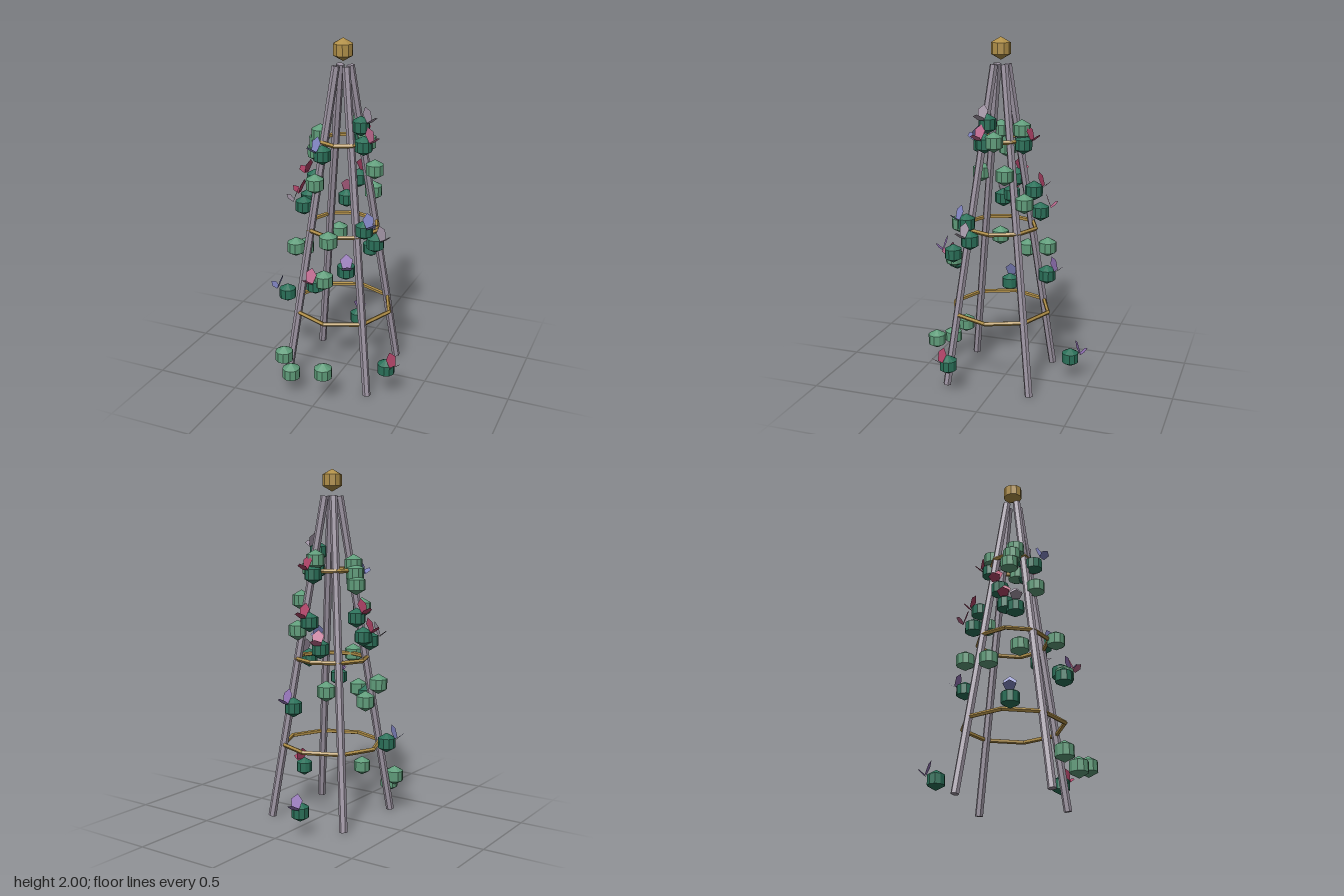
import * as THREE from 'three';

const CX = -0.01, CZ = 0.03; // axis of the trellis

const mat = (name, color, extra = {}) => {
  const m = new THREE.MeshStandardMaterial({ color, flatShading: true, ...extra });
  m.name = name;
  return m;
};

export function createModel() {
  const model = new THREE.Group();
  model.name = 'gardenObelisk';

  const two = { side: THREE.DoubleSide };
  const pole = mat('weathered wood', 0x9b92a0);
  const gold = mat('aged gold', 0xb08f48);
  const light = mat('light leaf', 0x5f9c7a);
  const dark = mat('dark leaf', 0x2a7059);
  const petals = {
    blue: mat('blue petal', 0x8488c6, two),
    purple: mat('purple petal', 0x9474b8, two),
    rose: mat('rose petal', 0xb04468, two),
    pink: mat('pink petal', 0xc06a90, two),
    mauve: mat('mauve petal', 0xa497a8, two),
  };

  const add = (name, geo, material, x, y, z, parent = model) => {
    const mesh = new THREE.Mesh(geo, material);
    mesh.name = name;
    mesh.position.set(x, y, z);
    parent.add(mesh);
    return mesh;
  };

  // Four leaning poles
  const up = new THREE.Vector3(0, 1, 0);
  for (const sx of [-1, 1]) for (const sz of [-1, 1]) {
    const a = new THREE.Vector3(CX + sx * 0.25, 0.006, CZ + sz * 0.25);
    const b = new THREE.Vector3(CX + sx * 0.03, 1.85, CZ + sz * 0.03);
    const mid = a.clone().add(b).multiplyScalar(0.5);
    const leg = add('pole', new THREE.CylinderGeometry(0.023, 0.023, a.distanceTo(b), 6), pole, mid.x, mid.y, mid.z);
    leg.quaternion.setFromUnitVectors(up, b.sub(a).normalize());
  }

  // Octagonal hoops
  for (const [y, r] of [[0.43, 0.287], [0.93, 0.208], [1.435, 0.128]]) {
    add('hoop', new THREE.TorusGeometry(r, 0.013, 5, 8).rotateX(Math.PI / 2), gold, CX, y, CZ);
  }

  // Finial
  add('finial', new THREE.SphereGeometry(0.063, 10, 3), gold, CX, 1.937, CZ);

  // Leaf clumps: x, y, z
  const leafGeo = new THREE.SphereGeometry(0.059, 10, 3);
  const leaves = [
    [-0.25, 0.195, 0.345], [-0.177, 0.13, 0.405], [0.034, 0.19, 0.427],
    [-0.288, 0.72, -0.045], [-0.268, 0.79, 0.122], [-0.14, 0.786, -0.213],
    [-0.004, 0.708, 0.32], [0.004, 0.925, 0.275], [-0.114, 1.214, 0.185],
    [0.15, 1.262, -0.046], [0.105, 1.1, -0.145], [0.013, 1.497, -0.1],
    [-0.167, 1.357, 0.042], [-0.15, 1.42, 0.055], [-0.13, 1.468, 0.07],
    [0.13, 1.44, 0.024],
  ];
  for (const [x, y, z] of leaves) add('leafClump', leafGeo, light, x, y, z);

  // Flowering clumps: dark leaves with two petals spreading outward
  const budGeo = new THREE.SphereGeometry(0.057, 10, 3);
  const petalGeo = new THREE.CircleGeometry(0.037, 5, Math.PI / 2);
  const flowers = [
    [-0.348, 0.465, 0.087, 'blue'], [0.338, 0.182, 0.23, 'rose'],
    [-0.08, 0.135, -0.377, 'purple'], [-0.055, 0.675, 0.323, 'pink'],
    [0.048, 0.683, -0.264, 'purple'], [0.112, 0.772, 0.28, 'purple'],
    [0.227, 0.897, 0.133, 'mauve'], [0.175, 0.98, 0.172, 'blue'],
    [-0.08, 1.013, -0.185, 'pink'], [-0.228, 1.04, 0.09, 'mauve'],
    [-0.22, 1.068, 0.035, 'rose'], [-0.2, 1.177, -0.004, 'rose'],
    [0.004, 1.155, -0.17, 'rose'], [-0.076, 1.38, 0.168, 'blue'],
    [0.13, 1.43, 0.077, 'pink'], [0.11, 1.537, 0.067, 'mauve'],
    [0.02, 1.417, -0.112, 'rose'],
  ];
  for (const [x, y, z, color] of flowers) {
    const flower = new THREE.Group();
    flower.name = 'flower';
    flower.position.set(x, y, z);
    flower.rotation.y = Math.atan2(x - CX, z - CZ);
    add('bud', budGeo, dark, 0, 0, 0, flower);
    const inner = add('innerPetal', petalGeo, petals[color], 0, 0.067, 0.044, flower);
    inner.rotation.x = -0.35;
    inner.scale.y = 1.25;
    const outer = add('outerPetal', petalGeo, petals[color], 0, 0.042, 0.077, flower);
    outer.rotation.x = 0.85;
    outer.scale.y = 0.85;
    model.add(flower);
  }

  return model;
}
